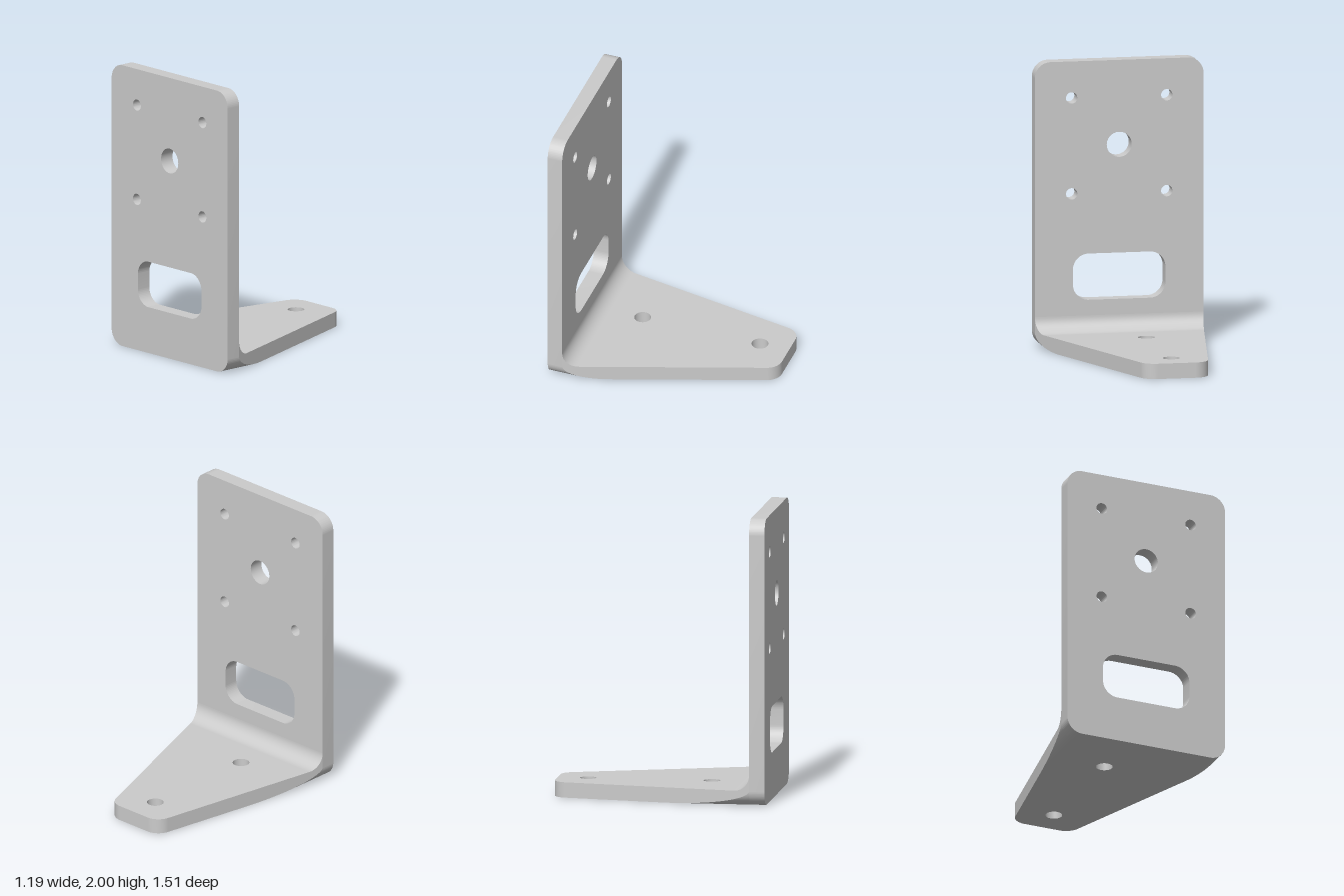
import * as THREE from 'three';
import { toCreasedNormals, mergeGeometries } from 'three/addons/utils/BufferGeometryUtils.js';

const W = 0.594;             // half width
const T = 0.107;             // sheet thickness
const R = 0.11;              // corner and bend radius
const FRONT = 0.755, BACK = -0.755;
const ZB = FRONT - T;        // rear face of the upright
const ZF = ZB - R;           // where the inner bend begins
const M = W - R;             // half width of the flat underside
const KR = 0.36, KL = 0.177; // taper of the two base edges
const STEPS = 16;
const sines = Array.from({ length: STEPS + 1 }, (_, i) => Math.sin((i / STEPS) * Math.PI / 2));

const rightX = z => W - KR * (ZB - z);
const leftX = z => -W + KL * (ZB - z);
const topY = z => z <= ZF ? T : T + R - Math.sqrt(Math.max(0, R * R - (z - ZF) ** 2));
const bottomY = x => {
  const d = Math.abs(x) - M;
  return d <= 0 ? 0 : R - Math.sqrt(Math.max(0, R * R - d * d));
};
const v = (x, y, z) => new THREE.Vector3(x, y, z);

function roundedRect(path, x0, y0, x1, y1, r) {
  path.moveTo(x0 + r, y0);
  path.lineTo(x1 - r, y0);
  path.absarc(x1 - r, y0 + r, r, -Math.PI / 2, 0);
  path.lineTo(x1, y1 - r);
  path.absarc(x1 - r, y1 - r, r, 0, Math.PI / 2);
  path.lineTo(x0 + r, y1);
  path.absarc(x0 + r, y1 - r, r, Math.PI / 2, Math.PI);
  path.lineTo(x0, y0 + r);
  path.absarc(x0 + r, y0 + r, r, Math.PI, Math.PI * 1.5);
  return path;
}

// Smooth band between two rows of points
function strip(a, b) {
  const index = [], n = a.length;
  for (let i = 0; i < n - 1; i++) index.push(i, i + 1, n + i, i + 1, n + i + 1, n + i);
  const g = new THREE.BufferGeometry().setFromPoints([...a, ...b]);
  g.setIndex(index);
  g.computeVertexNormals();
  return g.toNonIndexed();
}

// Flat horizontal face from [x, z] points, with round holes
function flatFace(points, holes, y, up) {
  const s = up ? -1 : 1;
  const shape = new THREE.Shape(points.map(([x, z]) => new THREE.Vector2(x, s * z)));
  for (const [x, z, r] of holes) shape.holes.push(new THREE.Path().absarc(x, s * z, r, 0, Math.PI * 2));
  const g = new THREE.ShapeGeometry(shape, 24);
  g.rotateX(s * Math.PI / 2);
  g.translate(0, y, 0);
  g.deleteAttribute('uv');
  return g.toNonIndexed();
}

// z stations along a base edge, front to back
function stations(k) {
  const zs = [...sines.map(s => ZF + R * s), ...sines.map(s => ZB - (R - R * s) / k)];
  return zs.sort((a, b) => b - a).filter((z, i, all) => i === 0 || all[i - 1] - z > 1e-7);
}

function baseOutline() {
  const pts = stations(KR).map(z => [rightX(z), z]);
  const zc = BACK + R;
  const arc = (xc, a0, a1) => {
    for (let i = 0; i <= STEPS; i++) {
      const a = a0 + (a1 - a0) * i / STEPS;
      pts.push([xc + R * Math.cos(a), zc + R * Math.sin(a)]);
    }
  };
  arc(rightX(zc) - R * Math.hypot(1, KR), -Math.atan(KR), -Math.PI / 2);
  arc(leftX(zc) + R * Math.hypot(1, KL), -Math.PI / 2, -Math.PI + Math.atan(KL));
  pts.push(...stations(KL).reverse().map(z => [leftX(z), z]));
  return pts;
}

function baseGeometry() {
  const outline = baseOutline();
  const holes = [[-0.126, -0.542, 0.058], [-0.126, 0.322, 0.058]];
  const parts = [];

  // Top, underside and outer edge
  parts.push(flatFace(outline.filter(p => p[1] <= ZF + 1e-6), holes, T, true));
  parts.push(flatFace(outline.map(([x, z]) => [Math.max(-M, Math.min(M, x)), z]), holes, 0, false));
  parts.push(strip(outline.map(([x, z]) => v(x, bottomY(x), z)), outline.map(([x, z]) => v(x, topY(z), z))));

  // Inner bend
  const bend = sines.map(s => ZF + R * s);
  parts.push(strip(bend.map(z => v(leftX(z), topY(z), z)), bend.map(z => v(rightX(z), topY(z), z))));

  // Rounded lower corners running out into the tapered edges
  for (const [side, k] of [[1, KR], [-1, KL]]) {
    const xs = sines.map(s => M + R * s);
    const rear = xs.map(x => v(side * x, bottomY(x), ZB - (W - x) / k));
    const front = xs.map(x => v(side * x, bottomY(x), ZB));
    parts.push(side > 0 ? strip(rear, front) : strip(front, rear));
  }

  // Hole walls
  for (const [x, z, r] of holes) {
    const ring = y => Array.from({ length: 49 }, (_, i) => {
      const a = i / 48 * Math.PI * 2;
      return v(x + r * Math.cos(a), y, z + r * Math.sin(a));
    });
    parts.push(strip(ring(0), ring(T)));
  }
  return mergeGeometries(parts);
}

function uprightGeometry() {
  const shape = roundedRect(new THREE.Shape(), -W, 0, W, 2, R);
  const hole = (x, y, r) => shape.holes.push(new THREE.Path().absarc(x, y, r, 0, Math.PI * 2));
  for (const x of [-0.335, 0.335]) for (const y of [1.072, 1.744]) hole(x, y, 0.04);
  hole(0, 1.408, 0.088);
  shape.holes.push(roundedRect(new THREE.Path(), -0.326, 0.326, 0.326, 0.65, R));
  const g = new THREE.ExtrudeGeometry(shape, { depth: T, bevelEnabled: false, curveSegments: 24 });
  g.translate(0, 0, ZB);
  return toCreasedNormals(g, 0.5);
}

export function createModel() {
  const group = new THREE.Group();
  group.name = 'angleBracket';
  const material = new THREE.MeshStandardMaterial({ color: 0xcccccc });
  const add = (name, geometry) => {
    const mesh = new THREE.Mesh(geometry, material);
    mesh.name = name;
    group.add(mesh);
  };
  add('uprightPlate', uprightGeometry());
  add('taperedBase', baseGeometry());
  return group;
}
